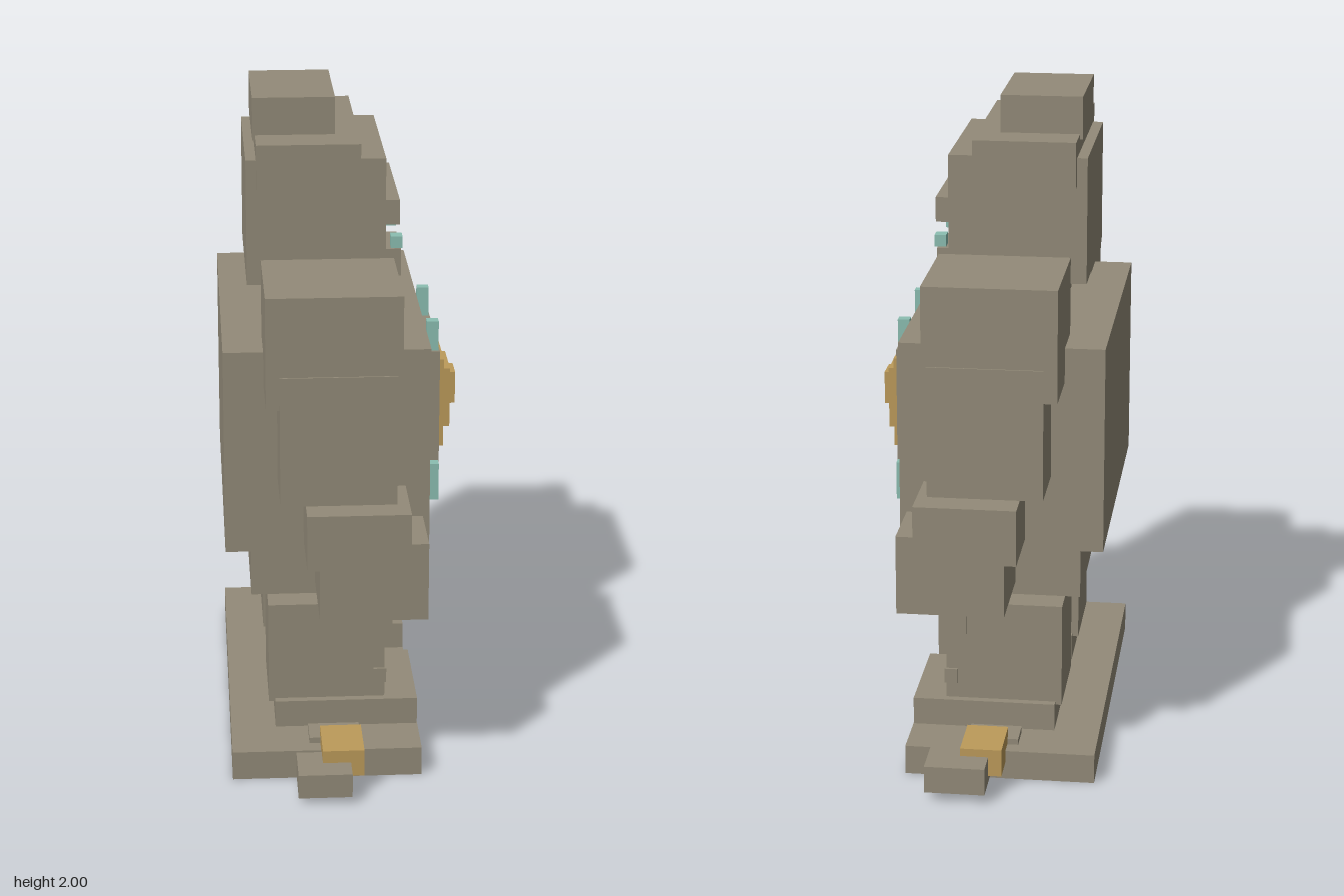
import * as THREE from 'three';

const stone = new THREE.MeshStandardMaterial({ color: 0x938b79 });
stone.name = 'stone';
const gold = new THREE.MeshStandardMaterial({ color: 0xbd9b5a });
gold.name = 'gold';
const teal = new THREE.MeshStandardMaterial({ color: 0x8cbfb2 });
teal.name = 'teal';

export function createModel() {
  const model = new THREE.Group();
  model.name = 'blockStatue';
  const midZ = 0.005; // the body sits a hair off centre

  // Box given by its extents on each axis
  function block(name, material, [x0, x1], [y0, y1], [z0, z1]) {
    const mesh = new THREE.Mesh(new THREE.BoxGeometry(x1 - x0, y1 - y0, z1 - z0), material);
    mesh.name = name;
    mesh.position.set((x0 + x1) / 2, (y0 + y1) / 2, (z0 + z1) / 2);
    model.add(mesh);
  }
  // Box centred across the body, half as wide as halfZ on each side
  const centred = (name, material, x, y, halfZ) =>
    block(name, material, x, y, [midZ - halfZ, midZ + halfZ]);
  // Box repeated on both sides of the body
  function pair(name, material, x, y, [inner, outer]) {
    block(name + 'PlusZ', material, x, y, [midZ + inner, midZ + outer]);
    block(name + 'MinusZ', material, x, y, [midZ - outer, midZ - inner]);
  }

  // Base, feet and legs
  centred('base', stone, [-0.355, 0.217], [0, 0.09], 0.608);
  pair('foot', stone, [-0.218, 0.216], [0.09, 0.175], [0.098, 0.444]);
  pair('leg', stone, [-0.237, 0.117], [0.165, 0.487], [0.122, 0.42]);
  pair('kneePad', stone, [0.055, 0.14], [0.345, 0.49], [0.118, 0.425]);
  pair('ankleBand', stone, [0.083, 0.122], [0.225, 0.27], [0.123, 0.429]);

  // Hips and torso
  centred('hips', stone, [-0.287, 0.177], [0.505, 0.72], 0.376);
  centred('torso', stone, [-0.365, 0.242], [0.7, 1.325], 0.499);
  pair('chestPlate', stone, [0.24, 0.25], [1.11, 1.265], [0.285, 0.397]);

  // Stepped chest ornament
  centred('chestPanel', stone, [0.24, 0.297], [0.845, 1.213], 0.198);
  centred('ornamentOuter', gold, [0.29, 0.315], [0.887, 1.167], 0.141);
  centred('ornamentMiddle', gold, [0.31, 0.34], [0.928, 1.118], 0.083);
  centred('ornamentInner', gold, [0.335, 0.36], [0.99, 1.092], 0.042);
  pair('upperGem', teal, [0.257, 0.293], [1.213, 1.305], [0.153, 0.186]);
  pair('lowerGem', teal, [0.257, 0.293], [0.75, 0.867], [0.213, 0.246]);

  // Head
  centred('neck', stone, [-0.2, 0.08], [1.32, 1.47], 0.186);
  centred('head', stone, [-0.287, 0.125], [1.455, 1.835], 0.263);
  centred('brow', stone, [0.1, 0.17], [1.62, 1.695], 0.214);
  centred('mouth', stone, [0.1, 0.185], [1.423, 1.508], 0.093);
  pair('eye', teal, [0.15, 0.185], [1.525, 1.561], [0.099, 0.142]);
  centred('capBrim', stone, [-0.256, 0.049], [1.75, 1.888], 0.3);
  centred('capTop', stone, [-0.264, -0.02], [1.872, 2], 0.178);

  // Arms
  pair('shoulder', stone, [-0.247, 0.143], [1.222, 1.555], [0.342, 0.712]);
  pair('upperArm', stone, [-0.208, 0.128], [0.93, 1.32], [0.4, 0.717]);
  pair('forearm', stone, [-0.132, 0.17], [0.73, 0.9], [0.41, 0.725]);
  pair('hand', stone, [-0.095, 0.222], [0.563, 0.802], [0.423, 0.712]);

  // Side fittings on the base
  pair('sideBracket', stone, [-0.12, 0.035], [0.06, 0.108], [0.465, 0.56]);
  pair('sideBlock', gold, [-0.087, 0.037], [0.053, 0.137], [0.537, 0.706]);
  block('sideSlabPlusZ', stone, [-0.163, -0.003], [0.023, 0.098], [0.64, 0.787]);
  block('sideSlabMinusZ', stone, [-0.047, 0.133], [0.03, 0.113], [-0.787, -0.622]);

  return model;
}
